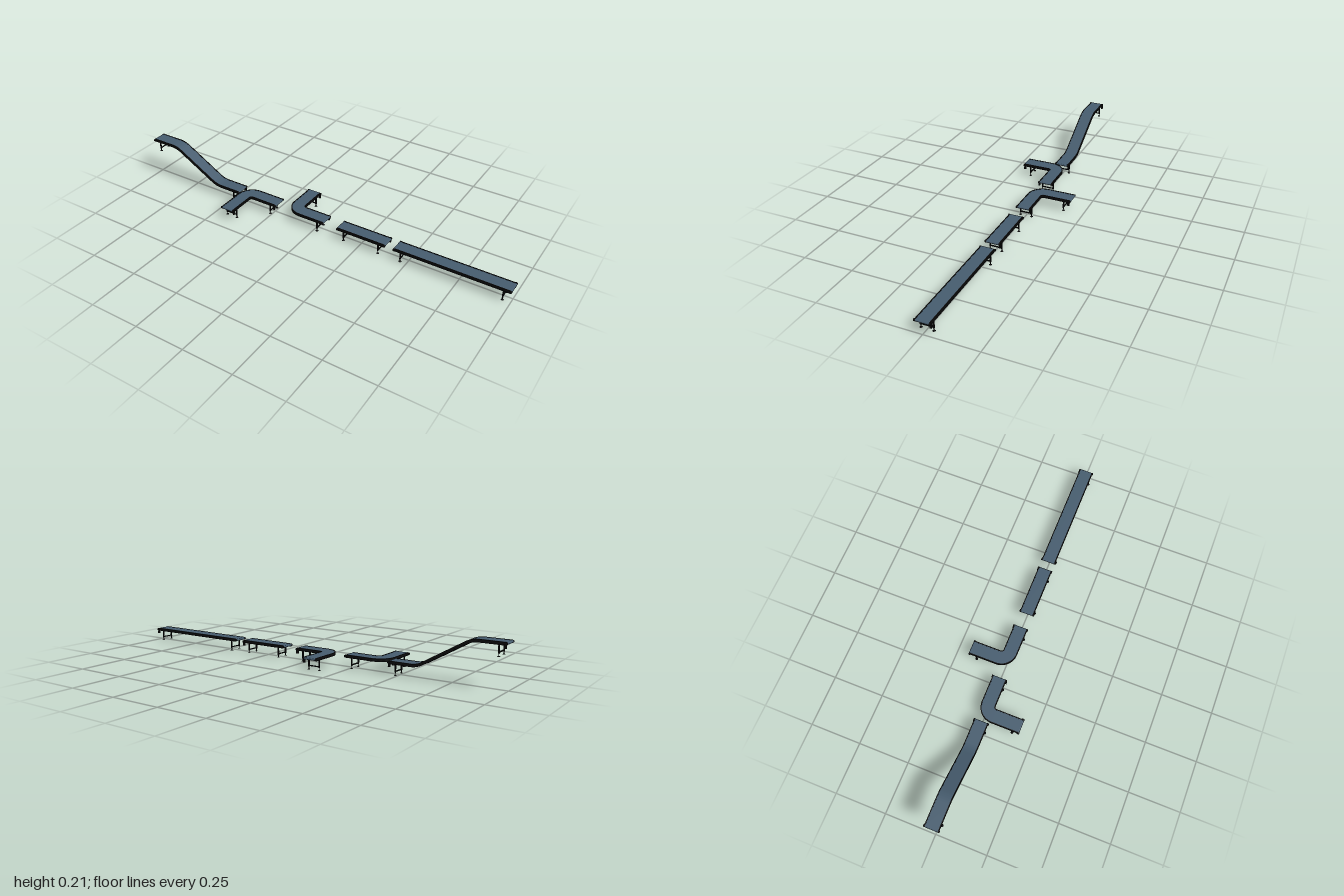
import * as THREE from 'three';
import { toCreasedNormals } from 'three/addons/utils/BufferGeometryUtils.js';

const belt = new THREE.MeshStandardMaterial({ color: 0x465c6e });
const black = new THREE.MeshStandardMaterial({ color: 0x0e0e0e });
const Y = new THREE.Vector3(0, 1, 0);
const H = 0.057; // height of the belt's middle above the feet
const V = (x, y, z) => new THREE.Vector3(x, y, z);

function add(parent, name, geometry, material, x = 0, y = 0, z = 0) {
  const mesh = new THREE.Mesh(geometry, material);
  mesh.name = name;
  mesh.position.set(x, y, z);
  parent.add(mesh);
  return mesh;
}

// A frame on the path: position, direction of travel, right-hand side and up
function frame(p, t) {
  const side = new THREE.Vector3().crossVectors(t, Y).normalize();
  return { p, t, side, up: new THREE.Vector3().crossVectors(side, t) };
}

// Frames along a polyline whose corners are rounded by arcs starting d before each corner
function framesAlong(points, d) {
  const dir = (a, b) => b.clone().sub(a).normalize();
  const last = points.length - 1;
  const frames = [frame(points[0], dir(points[0], points[1]))];
  for (let i = 1; i < last; i++) {
    const c = points[i], u = dir(points[i - 1], c), v = dir(c, points[i + 1]);
    const turn = u.angleTo(v);
    const k = 1 - (4 / 3) * Math.tan(turn / 4) / Math.tan(turn / 2);
    const at = (w, s) => c.clone().addScaledVector(w, s);
    const arc = new THREE.CubicBezierCurve3(at(u, -d), at(u, -d * k), at(v, d * k), at(v, d));
    for (let j = 0; j <= 12; j++) frames.push(frame(arc.getPoint(j / 12), arc.getTangent(j / 12)));
  }
  frames.push(frame(points[last], dir(points[last - 1], points[last])));
  return frames;
}

// Sweeps a rectangle (s0..s1 sideways, h0..h1 upwards) along the frames
function sweep(frames, s0, s1, h0, h1) {
  const pos = [], index = [];
  const corners = [[s0, h0], [s0, h1], [s1, h1], [s1, h0]];
  frames.forEach((f, i) => {
    for (const [s, h] of corners) {
      const q = f.p.clone().addScaledVector(f.side, s).addScaledVector(f.up, h);
      pos.push(q.x, q.y, q.z);
    }
    if (i === frames.length - 1) return;
    for (let k = 0; k < 4; k++) {
      const a = i * 4 + k, b = i * 4 + (k + 1) % 4;
      index.push(a, b, b + 4, a, b + 4, a + 4);
    }
  });
  const e = (frames.length - 1) * 4;
  index.push(0, 2, 1, 0, 3, 2, e, e + 1, e + 2, e, e + 2, e + 3);
  const g = new THREE.BufferGeometry();
  g.setAttribute('position', new THREE.Float32BufferAttribute(pos, 3));
  g.setIndex(index);
  return toCreasedNormals(g, 0.6);
}

// Pair of posts on levelling feet, joined by a cross bar
function legPair() {
  const g = new THREE.Group();
  g.name = 'legPair';
  for (const s of [-1, 1]) {
    const z = s * 0.029;
    add(g, 'post', new THREE.BoxGeometry(0.006, 0.04, 0.006), black, 0, 0.013 - H + 0.02, z);
    add(g, 'footStem', new THREE.CylinderGeometry(0.0018, 0.0018, 0.013, 8), black, 0, 0.0075 - H, z);
    add(g, 'foot', new THREE.CylinderGeometry(0.003, 0.007, 0.003, 12), black, 0, 0.0015 - H, z);
  }
  add(g, 'crossBar', new THREE.BoxGeometry(0.004, 0.005, 0.056), black, 0, 0.018 - H, 0);
  return g;
}

// End of a conveyor; local +x points along the travel, inward is +1 or -1
function endUnit(f, inward, motorSide) {
  const g = new THREE.Group();
  g.name = 'conveyorEnd';
  g.applyMatrix4(new THREE.Matrix4().makeBasis(f.t, f.up, f.side).setPosition(f.p));
  const roller = add(g, 'endRoller', new THREE.CylinderGeometry(0.0055, 0.0055, 0.062, 16), belt);
  roller.rotation.x = Math.PI / 2;
  for (const s of [-1, 1]) {
    const cap = add(g, 'bearing', new THREE.CylinderGeometry(0.006, 0.006, 0.008, 12), black, 0, 0, s * 0.034);
    cap.rotation.x = Math.PI / 2;
  }
  const legs = legPair();
  legs.position.x = inward * 0.032;
  g.add(legs);
  if (motorSide) {
    add(g, 'motor', new THREE.BoxGeometry(0.01, 0.014, 0.008), black, inward * 0.004, -0.0135, motorSide * 0.035);
  }
  return g;
}

// Conveyor along a path; motors gives the motor side at the start and the end (0 for none)
function conveyor(name, points, bend, motors) {
  const g = new THREE.Group();
  g.name = name;
  const frames = framesAlong(points, bend);
  add(g, 'belt', sweep(frames, -0.031, 0.031, -0.0055, 0.0055), belt);
  // side rails: a web with an upper and a lower flange
  for (const s of [-1, 1]) {
    const strip = (part, a, b, h0, h1) =>
      add(g, part, sweep(frames, Math.min(s * a, s * b), Math.max(s * a, s * b), h0, h1), black);
    strip('railWeb', 0.030, 0.0325, -0.006, 0.006);
    strip('railTopFlange', 0.030, 0.0345, -0.002, 0.0068);
    strip('railBottomFlange', 0.030, 0.0345, -0.0075, -0.0045);
  }
  g.add(endUnit(frames[0], 1, motors[0]), endUnit(frames[frames.length - 1], -1, motors[1]));
  return g;
}

export function createModel() {
  const model = new THREE.Group();
  model.name = 'conveyorSet';
  const e = 0.006; // end rollers reach this far past the path
  model.add(
    conveyor('inclineConveyor', [
      V(-1 + e, H + 0.145, 0), V(-0.845, H + 0.145, 0), V(-0.594, H, 0), V(-0.45 - e, H, 0),
    ], 0.03, [-1, -1]),
    conveyor('frontCornerConveyor', [
      V(-0.408, H, 0.186 - e), V(-0.408, H, 0), V(-0.222 - e, H, 0),
    ], 0.045, [1, 1]),
    conveyor('backCornerConveyor', [
      V(0.055 - e, H, 0), V(-0.131, H, 0), V(-0.131, H, -0.186 + e),
    ], 0.045, [1, 1]),
    conveyor('shortConveyor', [V(0.128 + e, H, 0), V(0.39 - e, H, 0)], 0, [0, -1]),
    conveyor('longConveyor', [V(0.43 + e, H, 0), V(1 - e, H, 0)], 0, [0, -1]),
  );
  return model;
}
